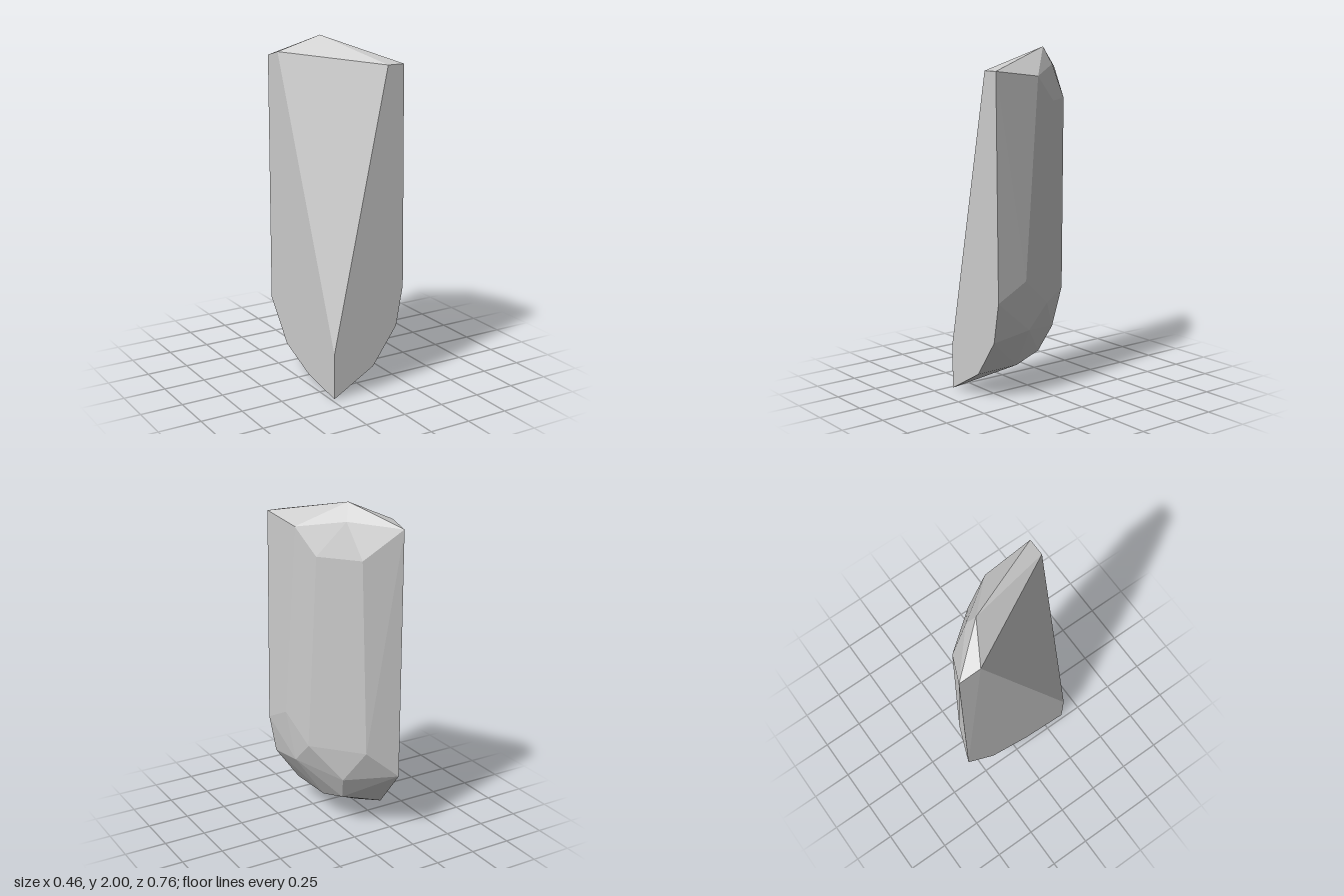
import * as THREE from 'three';
import { ConvexGeometry } from 'three/addons/geometries/ConvexGeometry.js';

export function createModel() {
  const group = new THREE.Group();
  group.name = 'rockShard';
  const stone = new THREE.MeshStandardMaterial({ color: 0xcccccc });
  stone.name = 'greyStone';

  const corners = [
    // flat front face
    [-0.23, 0, 0.38], [0.03, 0.147, 0.38], [0.185, 0.365, 0.38],
    [0.228, 0.6, 0.38], [0.213, 1.88, 0.38], [0.11, 1.88, 0.38], [-0.23, 0.27, 0.38],
    // flat right wall
    [-0.23, 1.905, -0.25], [-0.223, 1.872, -0.38], [-0.23, 0.39, -0.365],
    [-0.23, 0.15, -0.175], [-0.23, 0.045, 0.09],
    // peak and upper bevels
    [-0.02, 2, -0.13], [0.015, 1.9, -0.17], [0.2, 1.845, 0.08],
    [0.15, 1.7, -0.07], [-0.018, 1.7, -0.285],
    // lower bevels
    [0.22, 0.7, 0.18], [0.174, 0.54, -0.01], [-0.045, 0.55, -0.3],
    [0.184, 0.4, 0.13], [0.03, 0.345, -0.165],
    [0.014, 0.145, 0.09], [-0.01, 0.195, -0.09],
  ];

  // faceted stone body wrapped around its corners
  const body = new THREE.Mesh(
    new ConvexGeometry(corners.map((c) => new THREE.Vector3(...c))), stone);
  body.name = 'shard';
  group.add(body);
  return group;
}
